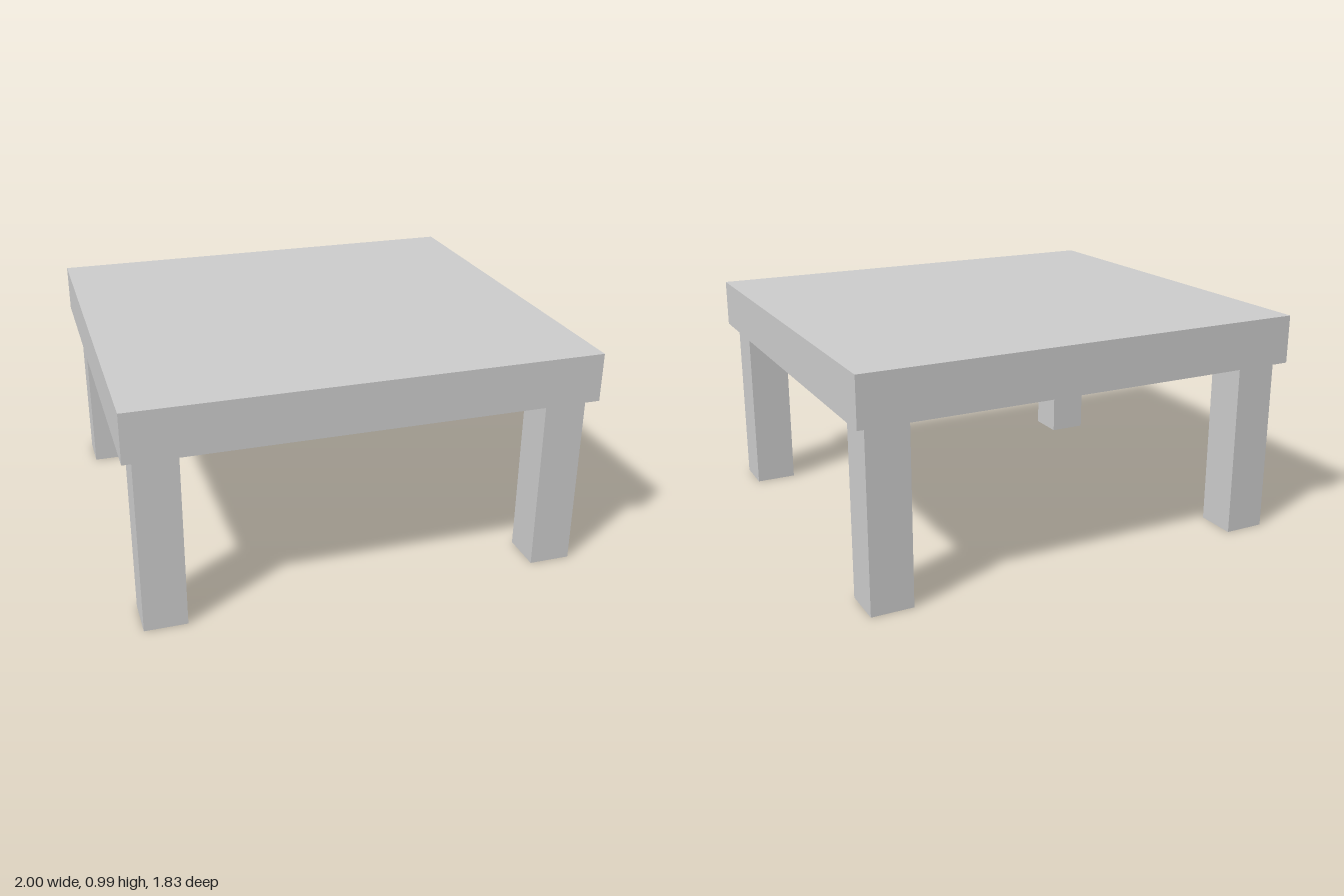
import * as THREE from 'three';

const TOP = { width: 2, depth: 1.832, bottom: 0.782, height: 0.212 };
const LEG = { side: 0.183, x: 0.867, z: 0.786 };

export function createModel() {
  const table = new THREE.Group();
  table.name = 'table';
  const material = new THREE.MeshStandardMaterial({ color: 0xcccccc });

  // A box standing on height y
  function addBox(name, w, h, d, x, y, z) {
    const mesh = new THREE.Mesh(new THREE.BoxGeometry(w, h, d), material);
    mesh.name = name;
    mesh.position.set(x, y + h / 2, z);
    table.add(mesh);
  }

  // Thick slab top
  addBox('tableTop', TOP.width, TOP.height, TOP.depth, 0, TOP.bottom, 0);

  // Four square legs, set slightly in from the corners
  for (const [front, sz] of [['front', 1], ['back', -1]]) {
    for (const [side, sx] of [['Left', 1], ['Right', -1]]) {
      addBox(`${front}${side}Leg`, LEG.side, TOP.bottom, LEG.side, sx * LEG.x, 0, sz * LEG.z);
    }
  }
  return table;
}
